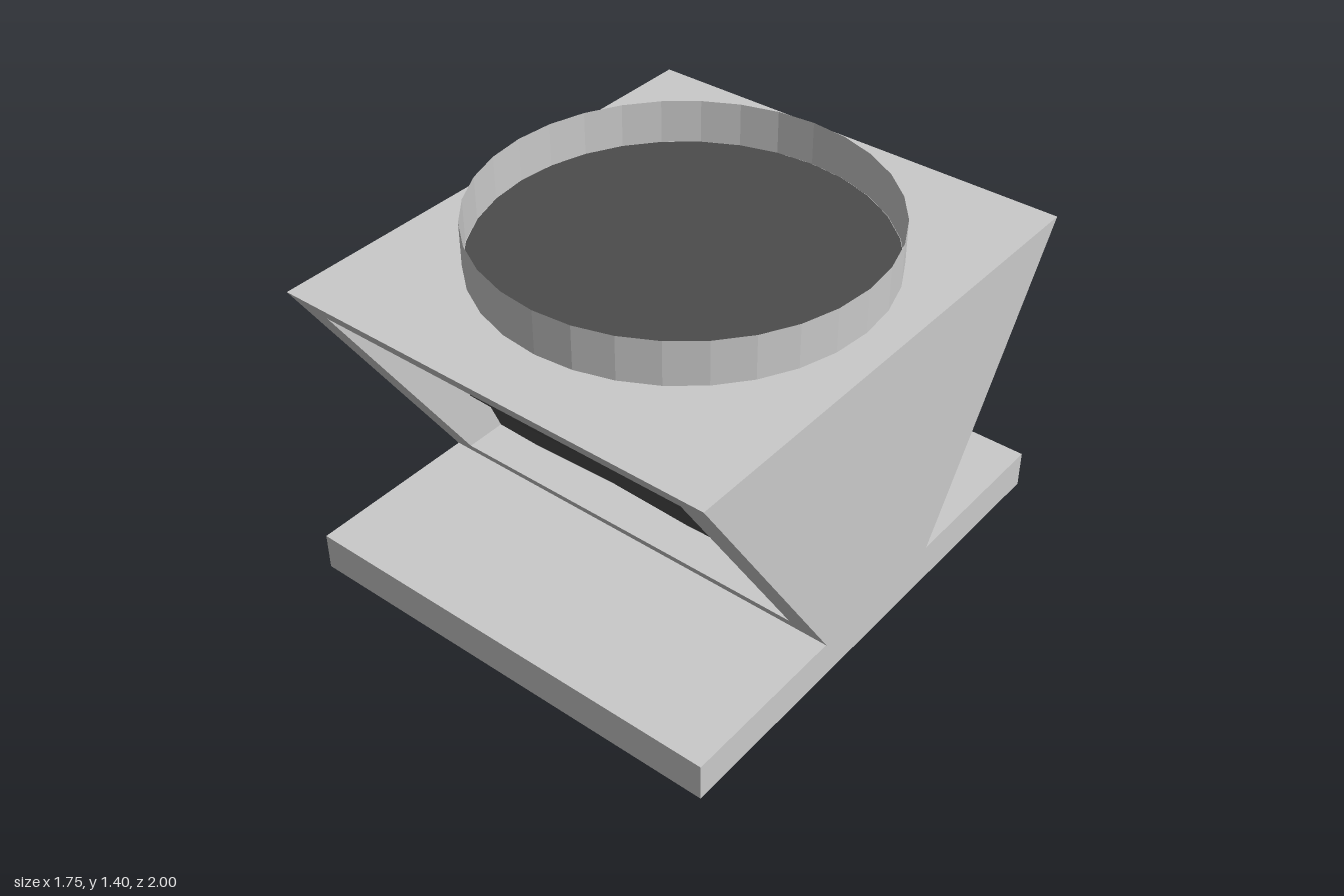
import * as THREE from 'three';

const BOTTOM = 0.15, TOP = 1.23, HALF_W = 0.875;
const SLOPE = (1 - 0.31) / (TOP - BOTTOM);
// z of the outer sloping face at height y
const faceZ = (y) => 0.31 + (y - BOTTOM) * SLOPE;

// lean an upright geometry along the sloping face
function shear(geometry) {
  const p = geometry.attributes.position;
  for (let i = 0; i < p.count; i++) p.setZ(i, p.getZ(i) + faceZ(p.getY(i)));
  geometry.computeVertexNormals();
  return geometry;
}

function rectangle(PathType, hw, y0, y1) {
  const r = new PathType();
  r.moveTo(-hw, y0).lineTo(hw, y0).lineTo(hw, y1).lineTo(-hw, y1).closePath();
  return r;
}

export function createModel() {
  const model = new THREE.Group();
  model.name = 'rooftopCondenser';

  const casing = new THREE.MeshStandardMaterial({ color: 0xc9c9c9, flatShading: true, side: THREE.DoubleSide });
  casing.name = 'light grey casing';
  const dark = new THREE.MeshStandardMaterial({ color: 0x4c4c4c, flatShading: true, side: THREE.DoubleSide });
  dark.name = 'dark grey grille';

  const add = (parent, name, geometry, material, y = 0) => {
    const mesh = new THREE.Mesh(geometry, material);
    mesh.name = name;
    mesh.position.y = y;
    parent.add(mesh);
    return mesh;
  };

  // base slab
  add(model, 'base', new THREE.BoxGeometry(HALF_W * 2 - 0.006, BOTTOM, 2), casing, BOTTOM / 2);

  // tapered core between the two sloping frames
  const depth = 0.22;
  const z0 = faceZ(BOTTOM) - depth, z1 = faceZ(TOP) - depth;
  const profile = new THREE.Shape();
  profile.moveTo(-z0, BOTTOM).lineTo(z0, BOTTOM).lineTo(z1, TOP).lineTo(-z1, TOP).closePath();
  const core = new THREE.ExtrudeGeometry(profile, { depth: HALF_W * 2, bevelEnabled: false });
  core.translate(0, 0, -HALF_W).rotateY(Math.PI / 2);
  add(model, 'core', core, casing);

  // sloping frame with a recessed opening
  const outline = rectangle(THREE.Shape, HALF_W, BOTTOM, TOP);
  outline.holes.push(rectangle(THREE.Path, 0.75, 0.23, 1.15));
  const frame = new THREE.ExtrudeGeometry(outline, { depth, bevelEnabled: false });
  frame.translate(0, 0, -depth);
  shear(frame);

  // pleated coil panel: ridges by row, a gentle ripple across
  const coil = new THREE.PlaneGeometry(1.5, 0.92, 8, 8);
  const p = coil.attributes.position;
  for (let i = 0; i < p.count; i++) {
    const column = i % 9, row = Math.floor(i / 9);
    const ridge = row % 2 ? -0.013 : 0.013;
    p.setZ(i, ridge + 0.006 * Math.sin(column * Math.PI / 2) - 0.18);
  }
  coil.translate(0, 0.69, 0);
  shear(coil);

  for (const [name, turn] of [['front', 0], ['back', Math.PI]]) {
    const side = new THREE.Group();
    side.name = name + 'Intake';
    side.rotation.y = turn;
    add(side, name + 'Frame', frame, casing);
    add(side, name + 'Coil', coil, dark);
    model.add(side);
  }

  // fan shroud and the dark disc inside it
  add(model, 'fanShroud', new THREE.CylinderGeometry(0.75, 0.75, 0.17, 32, 1, true), casing, 1.32);
  const disc = new THREE.CircleGeometry(0.748, 32);
  disc.rotateX(-Math.PI / 2);
  add(model, 'fanDisc', disc, dark, 1.236);

  return model;
}
